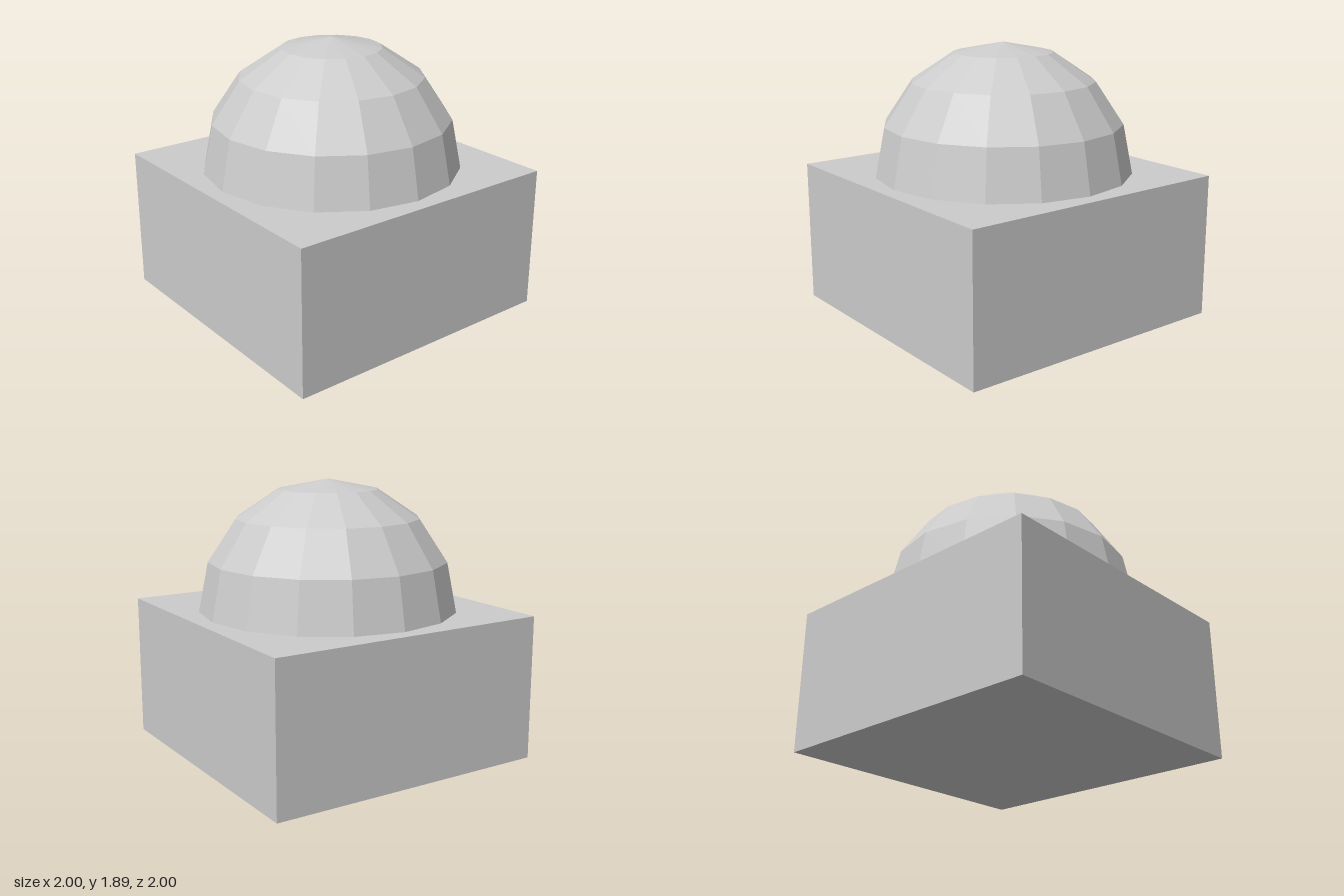
import * as THREE from 'three';

export function createModel() {
  const group = new THREE.Group();
  const material = new THREE.MeshStandardMaterial({ color: 0xcccccc, flatShading: true });

  const add = (name, geometry, y) => {
    const mesh = new THREE.Mesh(geometry, material);
    mesh.name = name;
    mesh.position.y = y;
    group.add(mesh);
  };

  // Square block standing on the ground
  add('base', new THREE.BoxGeometry(2, 1, 2), 0.5);

  // Faceted half sphere: 16 sides, 4 rings, resting on the block
  add('dome', new THREE.SphereGeometry(0.894, 16, 4, 0, Math.PI * 2, 0, Math.PI / 2), 1);

  return group;
}
